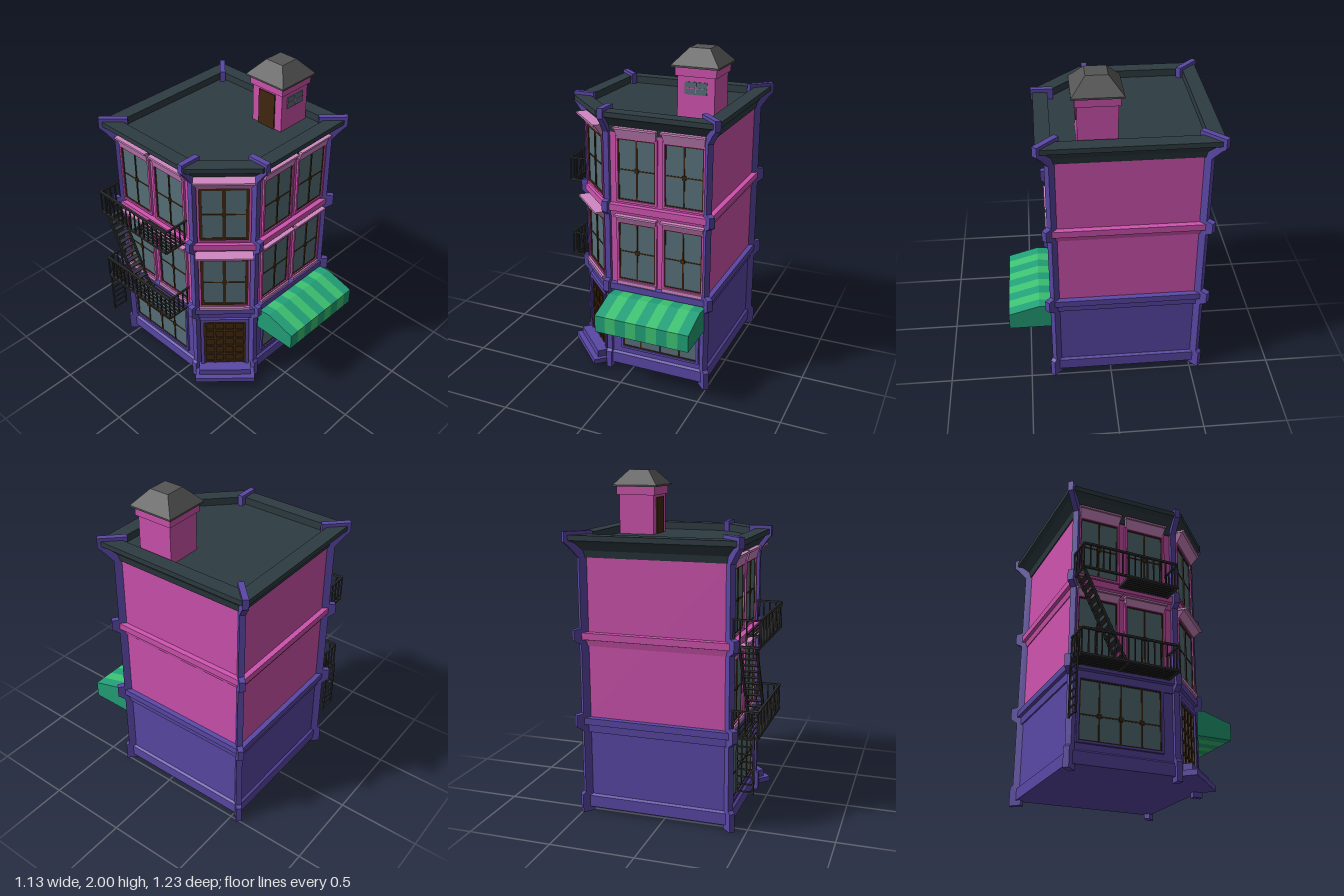
import * as THREE from 'three';

const mat = (name, color, side = THREE.FrontSide) => {
  const m = new THREE.MeshStandardMaterial({ color, side });
  m.name = name;
  return m;
};

export function createModel() {
  const M = {
    pink: mat('pink wall', 0xcf53af), purple: mat('purple trim', 0x5a48a6),
    slate: mat('slate roof', 0x2e3c42), glass: mat('window glass', 0x566f78),
    rose: mat('pale pink lintel', 0xd088c2), green: mat('awning green', 0x22a078),
    lime: mat('awning light green', 0x3dc272), brown: mat('brown wood', 0x40280f),
    iron: mat('dark iron', 0x333333), grey: mat('grey roof', 0x555555),
  };
  const root = new THREE.Group();
  root.name = 'townHouse';

  const add = (parent, name, geo, m) => {
    const mesh = new THREE.Mesh(geo, m);
    mesh.name = name;
    parent.add(mesh);
    return mesh;
  };
  const group = (name, parent = root) => {
    const g = new THREE.Group();
    g.name = name;
    parent.add(g);
    return g;
  };
  const box = (parent, name, m, w, h, d, x, y, z) => {
    const mesh = add(parent, name, new THREE.BoxGeometry(w, h, d), m);
    mesh.position.set(x, y, z);
    return mesh;
  };
  // box given by its lower and upper limits
  const span = (parent, name, m, x0, x1, y0, y1, z0, z1) =>
    box(parent, name, m, x1 - x0, y1 - y0, z1 - z0, (x0 + x1) / 2, (y0 + y1) / 2, (z0 + z1) / 2);

  // Five-sided plan with one cut corner, grown outward by d
  const CX = 0.04, CZ = -0.0975, HALF = 0.43, CUT = 0.475;
  const plan = (d) => {
    const h = HALF + d, c = CUT + d * Math.SQRT2;
    const x0 = CX - h, x1 = CX + h, z0 = CZ - h, z1 = CZ + h;
    return [[x1, z1], [x1, z0], [x0, z0], [x0, c + x0], [z1 - c, z1]];
  };
  // Walls through a profile of [offset, height], closed above and below
  const loft = (profile) => {
    const v = [];
    const rings = profile.map(([d, y]) => plan(d).map(([x, z]) => [x, y, z]));
    for (let r = 0; r < rings.length - 1; r++) {
      const lo = rings[r], hi = rings[r + 1];
      for (let i = 0; i < 5; i++) {
        const j = (i + 1) % 5;
        v.push(...lo[i], ...lo[j], ...hi[j], ...lo[i], ...hi[j], ...hi[i]);
      }
    }
    const a = rings[0], b = rings[rings.length - 1];
    for (let i = 1; i < 4; i++) v.push(...a[0], ...a[i + 1], ...a[i], ...b[0], ...b[i], ...b[i + 1]);
    const g = new THREE.BufferGeometry();
    g.setAttribute('position', new THREE.Float32BufferAttribute(v, 3));
    g.computeVertexNormals();
    return g;
  };

  // Storeys, ledges and roof
  add(root, 'groundFloor', loft([[0, 0.03], [0, 0.59]]), M.purple);
  add(root, 'baseboard', loft([[0.014, 0.03], [0.014, 0.1], [0, 0.11]]), M.purple);
  add(root, 'lowerLedge', loft([[0.01, 0.5], [0.012, 0.545], [0.03, 0.55], [0.03, 0.59], [0, 0.592]]), M.purple);
  add(root, 'upperFloors', loft([[0, 0.59], [0, 1.535]]), M.pink);
  add(root, 'upperLedge', loft([[0.005, 1.02], [0.012, 1.055], [0.03, 1.06], [0.03, 1.1], [0, 1.102]]), M.pink);
  add(root, 'roofCornice', loft([[0.006, 1.53], [0.014, 1.57], [0.05, 1.615], [0.077, 1.63],
    [0.077, 1.66], [-0.01, 1.66], [-0.01, 1.615]]), M.slate);

  // Corner fins with brackets at each ledge
  const finProfile = [[-0.02, 0], [0.033, 0], [0.033, 0.11], [0.02, 0.125], [0.02, 0.51], [0.05, 0.54],
    [0.05, 0.61], [0.02, 0.615], [0.02, 1.03], [0.05, 1.055], [0.05, 1.12], [0.02, 1.125], [0.02, 1.53],
    [0.06, 1.595], [0.08, 1.62], [0.08, 1.68], [-0.04, 1.68], [-0.04, 1.6], [-0.02, 1.6]];
  const finDirs = [[1, 1], [1, -1], [-1, -1], [-1, 0], [0, 1]];
  plan(0).forEach(([x, z], i) => {
    const [dx, dz] = finDirs[i], s = Math.hypot(dx, dz) * (i > 2 ? 1.1 : 1);
    const shape = new THREE.Shape(finProfile.map(([r, y]) => new THREE.Vector2(r * s, y)));
    const g = new THREE.ExtrudeGeometry(shape, { depth: 0.034, bevelEnabled: false });
    g.translate(0, 0, -0.017);
    const fin = add(root, 'cornerFin', g, M.purple);
    fin.position.set(x, 0, z);
    fin.rotation.y = Math.atan2(-dz, dx);
  });

  // Window: surround, glass, crossing bars and a latch on each upright
  const windowUnit = (parent, x, y0, y1, w, { frame = M.pink, edge = 0.006, bars = [0], cross = 0.5, thick = 0.008 } = {}) => {
    const g = group('window', parent);
    g.position.x = x;
    const h = w / 2, ym = y0 + (y1 - y0) * cross;
    span(g, 'glass', M.glass, -h, h, y0, y1, -0.004, 0.004);
    for (const s of [-1, 1]) {
      box(g, 'frameSide', frame, 0.014, y1 - y0 + 0.028, 0.03, s * (h + 0.007), (y0 + y1) / 2, 0);
      box(g, 'sashSide', M.brown, edge, y1 - y0, 0.016, s * (h - edge / 2), (y0 + y1) / 2, 0);
      const y = s < 0 ? y0 : y1;
      box(g, 'frameRail', frame, w, 0.014, 0.03, 0, y + s * 0.007, 0);
      box(g, 'sashRail', M.brown, w, edge, 0.016, 0, y - s * edge / 2, 0);
    }
    box(g, 'crossBar', M.brown, w, 0.007, 0.014, 0, ym, 0);
    for (const b of bars) {
      box(g, 'upright', M.brown, thick, y1 - y0, 0.018, b, (y0 + y1) / 2, 0);
      box(g, 'latch', M.brown, 0.024, 0.024, 0.022, b, ym, 0);
    }
    return g;
  };
  // Flared lintel, wider and deeper at its top
  const lintel = (parent, x, y0, y1, w, out) => {
    const g = new THREE.BoxGeometry(w, y1 - y0, out);
    const p = g.attributes.position;
    for (let i = 0; i < p.count; i++) {
      if (p.getY(i) < 0) {
        p.setX(i, p.getX(i) * 0.89);
        if (p.getZ(i) > 0) p.setZ(i, -out * 0.1);
      }
    }
    g.computeVertexNormals();
    add(parent, 'lintel', g, M.rose).position.set(x, (y0 + y1) / 2, out / 2);
    span(parent, 'lintelCap', M.rose, x - w / 2, x + w / 2, y1 - 0.012, y1, 0, out + 0.006);
  };

  const floors = [[0.62, 0.985, 1.038], [1.13, 1.495, 1.568]];
  const facade = (name, x, z, turn) => {
    const g = group(name);
    g.position.set(x, 0, z);
    g.rotation.y = turn;
    for (const [y0, y1, top] of floors) {
      for (const s of [-1, 1]) {
        windowUnit(g, s * 0.145, y0, y1, 0.23);
        lintel(g, s * 0.145, y1 + 0.004, top, 0.265, 0.036);
      }
    }
    for (const s of [-1, 1]) span(g, 'sill', M.rose, s * 0.145 - 0.125, s * 0.145 + 0.125, 0.59, 0.612, 0, 0.024);
    windowUnit(g, 0, 0.16, 0.5, 0.48, { frame: M.purple, bars: [-0.125, 0, 0.125], cross: 0.42 });
    return g;
  };
  const front = facade('frontFacade', 0.1875, 0.33, 0);
  facade('sideFacade', -0.39, -0.2475, -Math.PI / 2);

  // Striped awning over the shop window
  const awning = group('awning', front);
  const canopy = new THREE.Shape([[0.01, 0.39], [0.285, 0.39], [0.285, 0.495], [0.1, 0.55], [0.01, 0.54]]
    .map(([z, y]) => new THREE.Vector2(-z, y)));
  for (let i = 0; i < 9; i++) {
    const g = new THREE.ExtrudeGeometry(canopy, { depth: 0.065, bevelEnabled: false });
    g.rotateY(Math.PI / 2);
    add(awning, 'awningStripe', g, i % 2 ? M.lime : M.green).position.x = -0.2925 + i * 0.065;
  }

  // Cut corner: doorway with steps, and a window on each upper floor
  const corner = group('cornerFacade');
  corner.position.set(-0.2675, 0, 0.2075);
  corner.rotation.y = -Math.PI / 4;
  for (const [y0, y1, top] of floors) {
    windowUnit(corner, 0, y0, y1, 0.28, { edge: 0.016, thick: 0.02 }).position.z = 0.012;
    lintel(corner, 0, y1 + 0.004, top, 0.34, 0.075);
  }
  span(corner, 'sill', M.rose, -0.155, 0.155, 0.592, 0.613, 0, 0.04);
  span(corner, 'lowerStep', M.purple, -0.19, 0.19, 0.03, 0.062, -0.02, 0.118);
  span(corner, 'upperStep', M.purple, -0.165, 0.165, 0.06, 0.105, -0.02, 0.085);
  const door = group('door', corner);
  span(door, 'doorLeaf', M.brown, -0.13, 0.13, 0.105, 0.475, -0.01, 0.008);
  for (let i = 0; i < 5; i++) {
    const x = -0.124 + i * 0.062;
    span(door, 'doorUpright', M.brown, x - 0.008, x + 0.008, 0.105, 0.475, 0, 0.018);
  }
  for (let i = 0; i < 6; i++) {
    const y = 0.114 + i * 0.07;
    span(door, 'doorRail', M.brown, -0.13, 0.13, y - 0.008, y + 0.008, 0, 0.016);
  }
  for (const s of [-1, 1]) box(door, 'doorPost', M.purple, 0.022, 0.39, 0.03, s * 0.141, 0.3, 0.012);
  box(door, 'doorHead', M.purple, 0.304, 0.025, 0.03, 0, 0.4875, 0.012);

  // Rooftop hut
  const hut = group('roofHut');
  hut.position.set(0.335, 0, 0.073);
  span(hut, 'hutWalls', M.pink, -0.11, 0.11, 1.61, 1.86, -0.11, 0.11);
  span(hut, 'hutBand', M.pink, -0.122, 0.122, 1.85, 1.902, -0.122, 0.122);
  span(hut, 'hutEave', M.grey, -0.14, 0.14, 1.9, 1.91, -0.14, 0.14);
  const cap = new THREE.CylinderGeometry(0.06 * Math.SQRT2, 0.14 * Math.SQRT2, 0.09, 4).toNonIndexed();
  cap.rotateY(Math.PI / 4);
  cap.computeVertexNormals();
  add(hut, 'hutRoof', cap, M.grey).position.y = 1.955;
  span(hut, 'hutGlass', M.glass, -0.065, 0.065, 1.75, 1.82, 0.108, 0.115);
  box(hut, 'hutBar', M.pink, 0.006, 0.07, 0.01, 0, 1.785, 0.112);
  box(hut, 'hutBar', M.pink, 0.13, 0.005, 0.01, 0, 1.785, 0.112);
  span(hut, 'hutDoor', M.brown, -0.117, -0.105, 1.615, 1.835, -0.06, 0.06);

  // Fire escape: two balconies, a stair between them and a hanging ladder
  const escape = group('fireEscape');
  const X0 = -0.558, X1 = -0.395, Z0 = -0.545, Z1 = 0.03, T = 0.008;
  const bar = (name, a, b, t = T) => {
    const p = new THREE.Vector3(...a), q = new THREE.Vector3(...b);
    const mesh = add(escape, name, new THREE.BoxGeometry(t, t, p.distanceTo(q)), M.iron);
    mesh.position.copy(p).lerp(q, 0.5);
    mesh.lookAt(q);
  };
  for (const y of [0.572, 1.085]) {
    const top = y + 0.148;
    const slatStart = y > 1 ? -0.27 : Z0;
    for (let i = 0; i < 8; i++) {
      const x = X0 + 0.012 + i * 0.021;
      bar('floorSlat', [x, y, slatStart], [x, y, Z1]);
    }
    for (const z of [Z0, -0.27, Z1]) bar('floorBeam', [X0, y, z], [X1, y, z], 0.012);
    for (const h of [y, top]) {
      bar('longRail', [X0, h, Z0], [X0, h, Z1], 0.012);
      for (const z of [Z0, Z1]) bar('endRail', [X0, h, z], [X1, h, z], 0.01);
    }
    for (let i = 0; i <= 15; i++) {
      const z = Z0 + (Z1 - Z0) * i / 15;
      bar('baluster', [X0, y, z], [X0, top, z], 0.007);
    }
    for (let i = 1; i <= 4; i++) {
      for (const z of [Z0, Z1]) bar('baluster', [X0 + i * 0.036, y, z], [X0 + i * 0.036, top, z], 0.007);
    }
  }
  for (const x of [-0.54, -0.445]) {
    bar('stairStringer', [x, 0.572, -0.28], [x, 1.085, Z0 + 0.01], 0.014);
    bar('ladderRail', [x, 0.25, -0.56], [x, 0.59, -0.56], 0.01);
  }
  for (let i = 1; i < 13; i++) {
    const t = i / 13;
    box(escape, 'stairTread', M.iron, 0.095, 0.006, 0.03, -0.4925, 0.572 + 0.513 * t, -0.28 - 0.255 * t);
  }
  for (let i = 0; i < 8; i++) bar('ladderRung', [-0.54, 0.26 + i * 0.044, -0.56], [-0.445, 0.26 + i * 0.044, -0.56]);
  return root;
}
